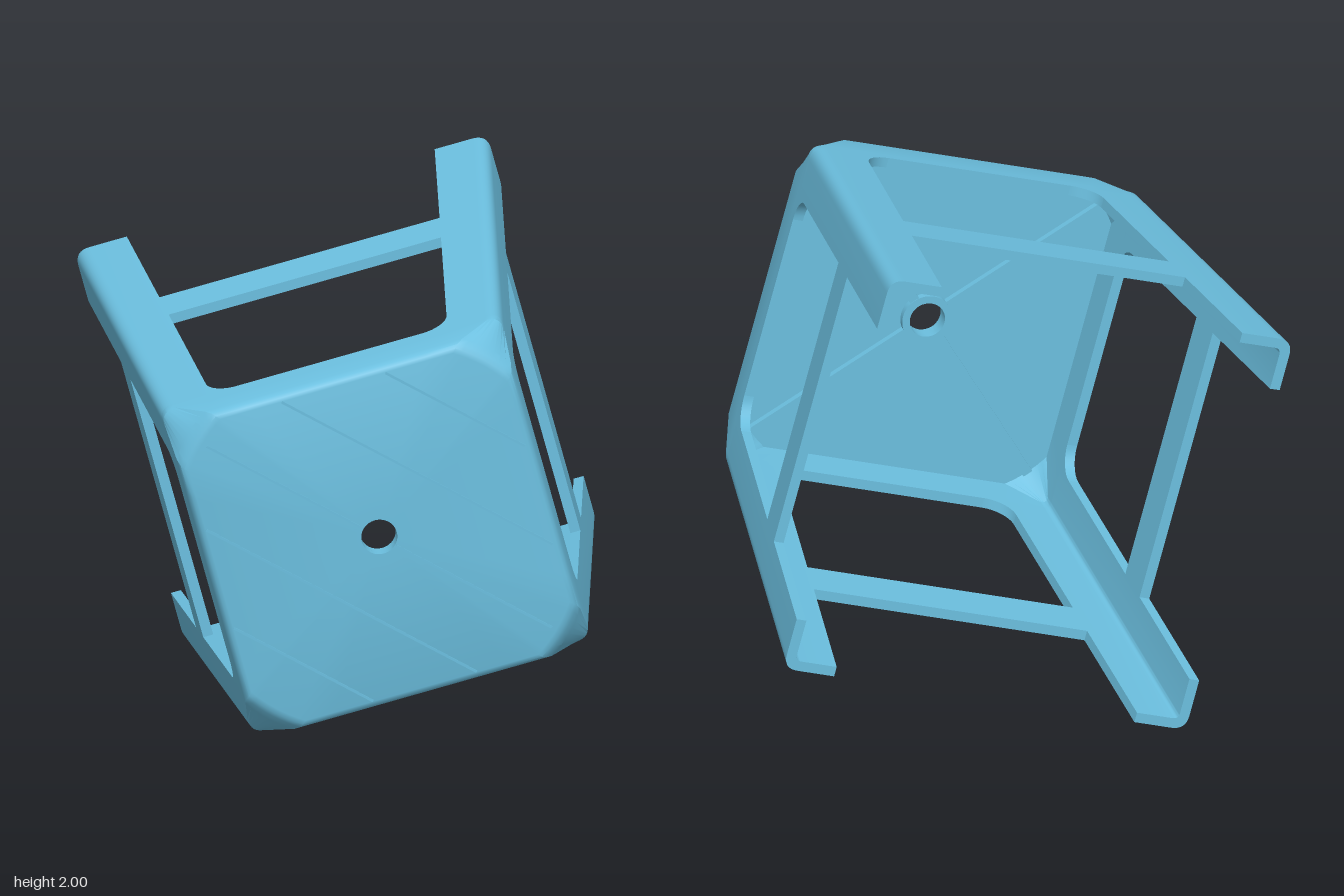
import * as THREE from 'three';
import { toCreasedNormals } from 'three/addons/utils/BufferGeometryUtils.js';

const FRONT = 0.935, BACK = -0.935, RIM = 0.74; // seat face, leg ends, edge of seat band
const T = 0.04, W = 0.21;                       // wall thickness, leg flange width
const half = z => 0.667 + (FRONT - z) * 0.0855; // outer half width, flaring toward the feet

// Corner curve from (h, h-c) to (h-c, h); bulge 1 is round, 0 is a flat chamfer
function corner(h, c, bulge, n = 8) {
  const k = h - c / 2 + bulge * c / 2;
  return new THREE.QuadraticBezierCurve(
    new THREE.Vector2(h, h - c), new THREE.Vector2(k, k), new THREE.Vector2(h - c, h)).getPoints(n);
}

// Closed square outline with shaped corners and subdivided sides
function outline(h, c, bulge) {
  const pts = [];
  for (let q = 0; q < 4; q++) {
    const arc = corner(h, c, bulge);
    for (let i = 1; i < 8; i++) arc.push(new THREE.Vector2(h - c - 2 * (h - c) * i / 8, h));
    arc.forEach(p => pts.push(p.rotateAround(new THREE.Vector2(), q * Math.PI / 2)));
  }
  return pts;
}

// Skin a list of {pts, z} rings; optionally join last to first, or cap L-shaped ends
function loft(rings, joined, capped) {
  const n = rings[0].pts.length, pos = [], idx = [];
  rings.forEach(r => r.pts.forEach(p => pos.push(p.x, p.y, r.z)));
  const quad = (a, b, c, d) => idx.push(a, b, c, a, c, d);
  const steps = joined ? rings.length : rings.length - 1;
  for (let r = 0; r < steps; r++) {
    const a = r * n, b = ((r + 1) % rings.length) * n;
    for (let j = 0; j < n; j++) {
      const k = (j + 1) % n;
      quad(a + j, a + k, b + k, b + j);
    }
  }
  if (capped) {
    const e = (rings.length - 1) * n;
    for (let i = 0; i < n / 2 - 1; i++) {
      quad(i, n - 1 - i, n - 2 - i, i + 1);
      quad(e + i, e + i + 1, e + n - 2 - i, e + n - 1 - i);
    }
  }
  const g = new THREE.BufferGeometry();
  g.setAttribute('position', new THREE.Float32BufferAttribute(pos, 3));
  g.setIndex(idx);
  return toCreasedNormals(g, 0.5);
}

// Seat shell: outside wall, chamfered corners, face, hole, then back along the inside
function seatGeometry() {
  const ring = (z, h, c, b) => ({ z, pts: outline(h, c, b) });
  const hole = z => ({ z, pts: outline(0.6, 0.16, 0.2).map(p => p.normalize().multiplyScalar(0.07)) });
  return loft([
    ring(RIM, half(RIM), 0.06, 1),
    ring(0.78, half(0.78), 0.06, 1),
    ring(0.895, half(0.895), 0.155, 0.25),
    ring(0.918, half(0.918) - 0.006, 0.17, 0.2),
    ring(0.93, half(0.93) - 0.016, 0.172, 0.2),
    ring(FRONT, half(FRONT) - 0.03, 0.172, 0.2),
    hole(FRONT), hole(0.895),
    ring(0.895, half(0.895) - T, 0.135, 0.2),
    ring(0.78, half(0.78) - T, 0.025, 1),
    ring(RIM, half(RIM) - T, 0.025, 1),
  ], true, false);
}

// Angle-section leg
function legGeometry() {
  const section = z => {
    const h = half(z), k = h - T;
    const outer = [new THREE.Vector2(h, h - W), ...corner(h, 0.06, 1), new THREE.Vector2(h - W, h)];
    const inner = [new THREE.Vector2(k, h - W), ...corner(k, 0.025, 1), new THREE.Vector2(h - W, k)];
    return { z, pts: [...outer, ...inner.reverse()] };
  };
  return loft([section(BACK), section(RIM)], false, true);
}

// Plate drawn as (u, z) between two legs, laid into the sloping side wall
const gap = half(RIM) - W;
function sidePlate(shape) {
  const g = new THREE.ExtrudeGeometry(shape, { depth: T, bevelEnabled: false, curveSegments: 8 });
  const p = g.attributes.position;
  for (let i = 0; i < p.count; i++) {
    const u = p.getX(i), v = p.getY(i), d = p.getZ(i);
    p.setXYZ(i, u * (half(v) - W) / gap, half(v) - d, v);
  }
  return toCreasedNormals(g, 0.5);
}

function filletShape(s) {
  const f = new THREE.Shape();
  f.moveTo(s * gap, RIM);
  f.lineTo(s * (gap - 0.1), RIM);
  f.bezierCurveTo(s * (gap - 0.045), RIM, s * gap, RIM - 0.045, s * gap, RIM - 0.1);
  f.closePath();
  return f;
}

export function createModel() {
  const blue = new THREE.MeshStandardMaterial({ color: 0x6bbfdf });
  blue.name = 'skyBlue';
  const model = new THREE.Group();
  model.name = 'stool';
  const stool = new THREE.Group();
  stool.name = 'stoolBody';
  const add = (name, geometry, angle = 0) => {
    const m = new THREE.Mesh(geometry, blue);
    m.name = name;
    m.rotation.z = angle;
    stool.add(m);
    return m;
  };

  add('seat', seatGeometry());

  // Four sides: leg, stretcher and rounded window corners
  const leg = legGeometry();
  const bar = new THREE.Shape([[-gap, -0.285], [gap, -0.285], [gap, -0.1], [-gap, -0.1]]
    .map(p => new THREE.Vector2(...p)));
  const stretcher = sidePlate(bar);
  const fillets = [-1, 1].map(s => sidePlate(filletShape(s)));
  // Diagonal ribs under the seat
  const rib = new THREE.BoxGeometry(0.71, 0.04, 0.03);
  rib.translate(0.445, 0, 0.882);
  for (let q = 0; q < 4; q++) {
    const a = q * Math.PI / 2;
    add('leg', leg, a);
    add('stretcher', stretcher, a);
    fillets.forEach(f => add('windowFillet', f, a));
    add('seatRib', rib, a + Math.PI / 4);
  }

  // Collar round the hole, under the seat
  const collar = new THREE.LatheGeometry([[0.07, 0], [0.1, 0], [0.1, 0.035], [0.07, 0.035], [0.07, 0]]
    .map(p => new THREE.Vector2(...p)), 32);
  collar.rotateX(Math.PI / 2);
  collar.translate(0, 0, 0.864);
  add('holeCollar', toCreasedNormals(collar, 0.5));

  // Fine diagonal grip lines on the seat face
  const gripLine = (offset, from, to) => {
    const g = new THREE.BoxGeometry(to - from, 0.01, 0.006);
    g.translate((from + to) / 2, offset, FRONT);
    add('gripLine', g, -Math.PI / 4);
  };
  for (const s of [-0.83, -0.415, 0.415, 0.83]) {
    const l = (1.27 - Math.abs(s)) / Math.SQRT2;
    gripLine(s / Math.SQRT2, -l, l);
  }
  gripLine(0, -0.77, -0.075);
  gripLine(0, 0.075, 0.77);

  // Lies on its side, turned about its axis
  stool.rotation.z = Math.PI / 12;
  stool.position.y = 1;
  model.add(stool);
  return model;
}
